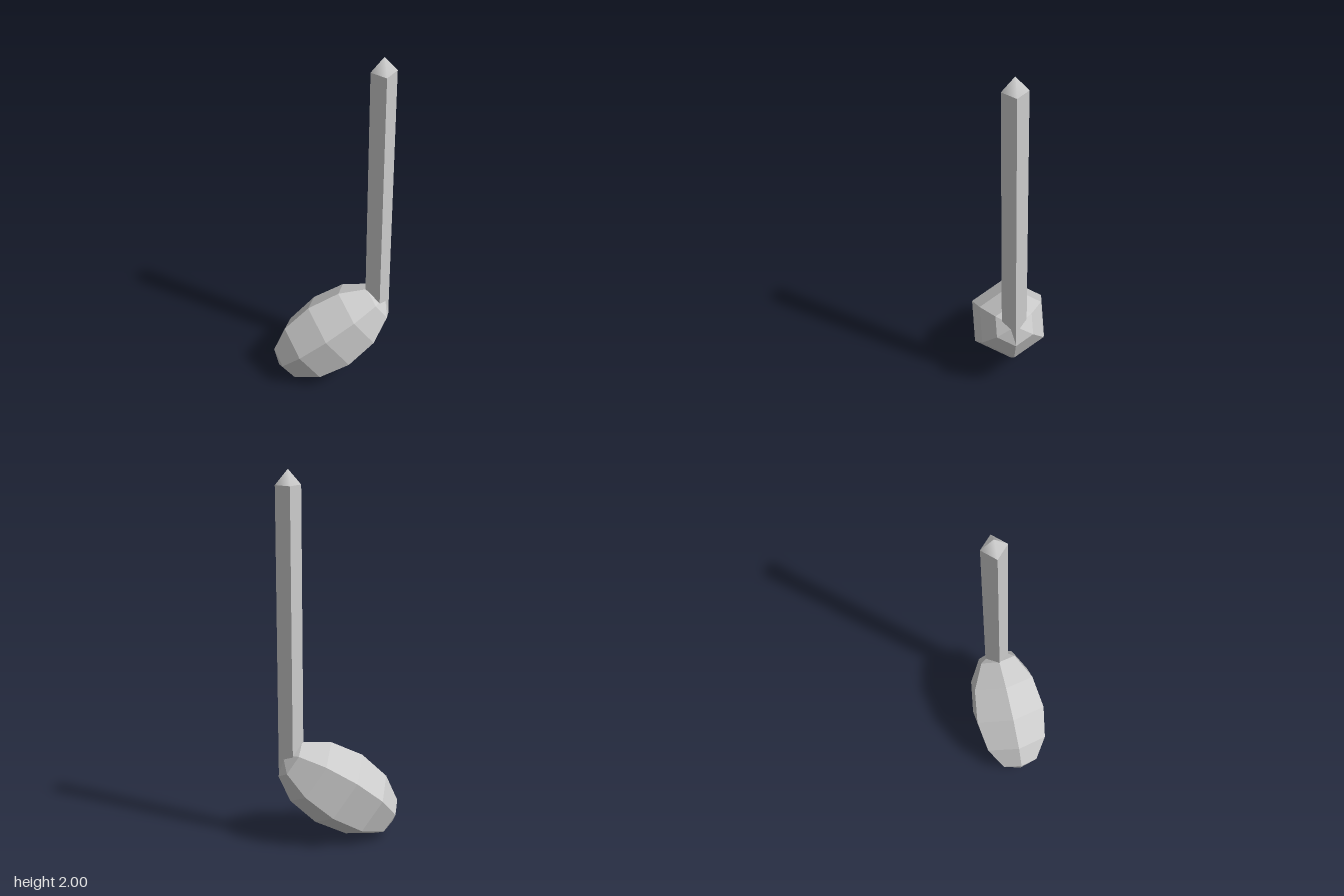
import * as THREE from 'three';

export function createModel() {
  const group = new THREE.Group();
  const flat = new THREE.MeshStandardMaterial({ color: 0xcccccc, flatShading: true });
  const smooth = new THREE.MeshStandardMaterial({ color: 0xcccccc });

  const add = (name, geometry, material, x, y) => {
    const mesh = new THREE.Mesh(geometry, material);
    mesh.name = name;
    mesh.position.set(x, y, 0);
    group.add(mesh);
    return mesh;
  };

  const stemX = 0.258, stemRadius = 0.067;
  const stemBottom = 0.37, stemTop = 1.92, tipTop = 2;

  // Tilted six-sided ellipsoid, its poles along the long axis
  const head = new THREE.SphereGeometry(1, 6, 6);
  head.scale(0.226, 0.37, 0.226);
  add('noteHead', head, flat, 0, 0.276).rotation.z = THREE.MathUtils.degToRad(-55);

  // Square stem set cornerwise, sunk into the head
  const stemHeight = stemTop - stemBottom;
  add('stem', new THREE.CylinderGeometry(stemRadius, stemRadius, stemHeight, 4, 1), flat,
    stemX, stemBottom + stemHeight / 2);

  // Smooth-shaded pyramid tip
  const tipHeight = tipTop - stemTop;
  add('stemTip', new THREE.ConeGeometry(stemRadius, tipHeight, 4, 1, true), smooth,
    stemX, stemTop + tipHeight / 2);

  return group;
}
